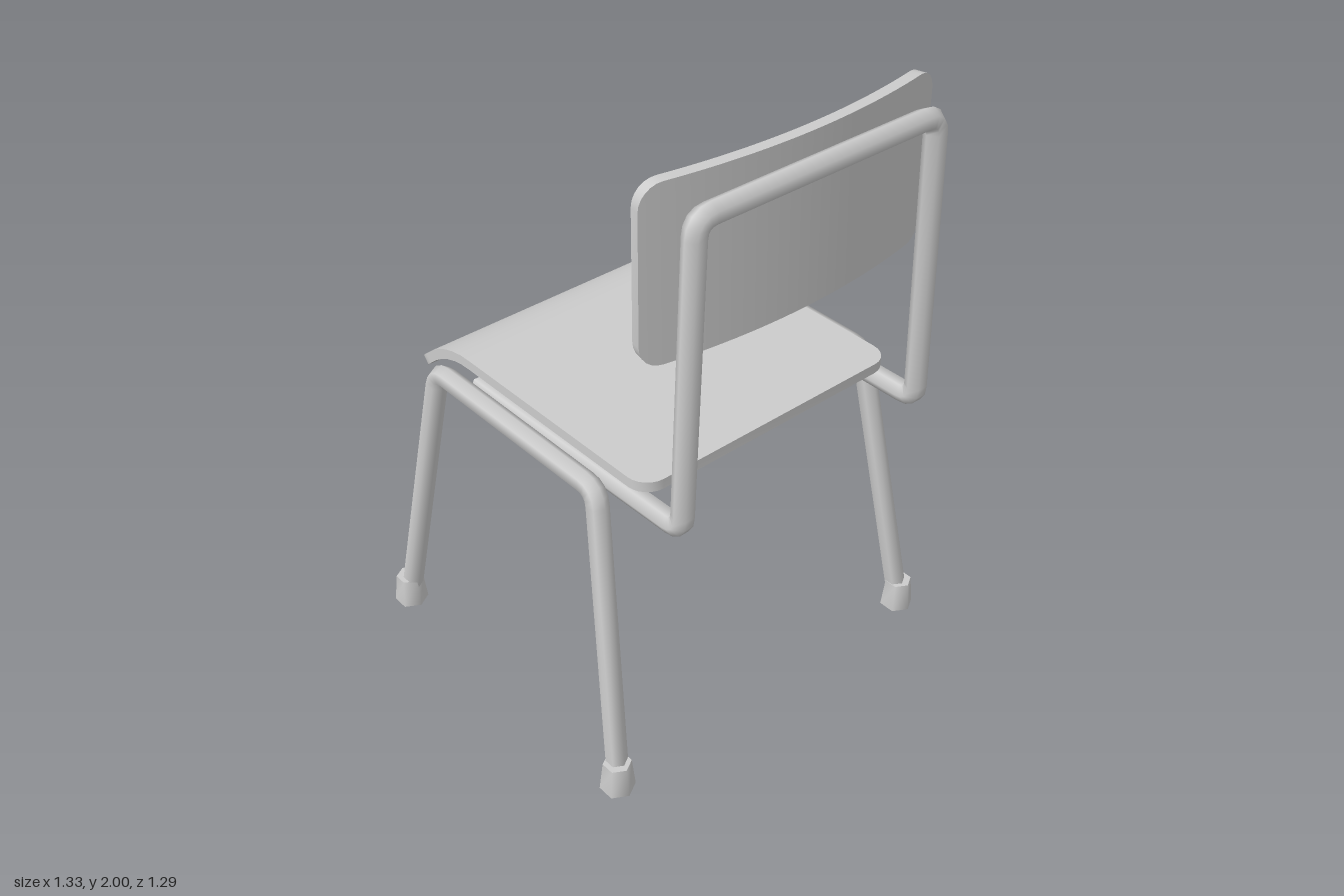
import * as THREE from 'three';
import { toCreasedNormals } from 'three/addons/utils/BufferGeometryUtils.js';

const V = (x, y, z) => new THREE.Vector3(x, y, z);
const material = new THREE.MeshStandardMaterial({ color: 0xcccccc });
const TUBE_R = 0.034;

// Sweeps a closed profile along points; profile(i) gives [normal, binormal] offsets.
function sweep(points, startNormal, profile, crease) {
  const tangents = points.map((p, i) => points[Math.min(i + 1, points.length - 1)].clone()
    .sub(points[Math.max(i - 1, 0)]).normalize());
  const normal = startNormal.clone().addScaledVector(tangents[0], -startNormal.dot(tangents[0])).normalize();
  const turn = new THREE.Quaternion();
  const positions = [], index = [];
  let n = 0;
  points.forEach((p, i) => {
    if (i) normal.applyQuaternion(turn.setFromUnitVectors(tangents[i - 1], tangents[i]));
    const binormal = tangents[i].clone().cross(normal);
    const ring = profile(i);
    n = ring.length;
    for (const [a, b] of ring) {
      positions.push(...p.clone().addScaledVector(normal, a).addScaledVector(binormal, b).toArray());
    }
  });
  for (let i = 0; i < points.length - 1; i++) {
    for (let j = 0; j < n; j++) {
      const a = i * n + j, b = i * n + (j + 1) % n;
      index.push(a, b, b + n, a, b + n, a + n);
    }
  }
  const last = (points.length - 1) * n;
  for (let j = 1; j < n - 1; j++) index.push(0, j + 1, j, last, last + j, last + j + 1);
  const geometry = new THREE.BufferGeometry();
  geometry.setAttribute('position', new THREE.Float32BufferAttribute(positions, 3));
  geometry.setIndex(index);
  return toCreasedNormals(geometry, crease);
}

// Six-sided tube through corner points, with small rounded bends.
function tube(corners, startNormal, bend = 0.05) {
  const points = [corners[0]];
  for (let i = 1; i < corners.length - 1; i++) {
    const c = corners[i];
    const from = c.clone().add(corners[i - 1].clone().sub(c).setLength(bend));
    const to = c.clone().add(corners[i + 1].clone().sub(c).setLength(bend));
    points.push(...new THREE.QuadraticBezierCurve3(from, c, to).getPoints(4));
  }
  points.push(corners[corners.length - 1]);
  const hexagon = Array.from({ length: 6 }, (_, k) =>
    [TUBE_R * Math.cos(k * Math.PI / 3), TUBE_R * Math.sin(k * Math.PI / 3)]);
  return sweep(points, startNormal, () => hexagon, 1.2);
}

// Bent board with rounded corners; path(s) is its centreline by length.
function board(path, length, halfWidth, radius, thickness, startNormal) {
  const stations = [];
  for (let k = 0; k <= 6; k++) {
    const d = radius * (1 - Math.cos(k * Math.PI / 12));
    stations.push(d, length - d);
  }
  for (let k = 1; k < 28; k++) {
    const s = length * k / 28;
    if (s > radius + 0.01 && s < length - radius - 0.01) stations.push(s);
  }
  stations.sort((a, b) => a - b);
  const t = thickness / 2;
  return sweep(stations.map(path), startNormal, (i) => {
    const d = Math.min(stations[i], length - stations[i], radius);
    const w = halfWidth - radius + Math.sqrt(Math.max(0, radius ** 2 - (radius - d) ** 2));
    return [[t, -w], [t, w], [-t, w], [-t, -w]];
  }, 0.6);
}

// Flat seat, then a downward arc and a short straight lip.
const FLAT = 0.82, ARC_R = 0.3, ARC = 0.7, LIP = 0.105;
function seatPath(s) {
  const a = THREE.MathUtils.clamp((s - FLAT) / ARC_R, 0, ARC);
  const lip = Math.max(0, s - FLAT - ARC * ARC_R);
  const z = 0.49 - Math.min(s, FLAT) - ARC_R * Math.sin(a) - lip * Math.cos(a);
  const y = 1.043 - ARC_R * (1 - Math.cos(a)) - lip * Math.sin(a);
  return V(0, y, z);
}

// Shallow arc across the backrest.
const BACK_R = 2.33, BACK_LENGTH = 1.05;
function backPath(s) {
  const a = (s - BACK_LENGTH / 2) / BACK_R;
  return V(BACK_R * Math.sin(a), 1.737, 0.557 - BACK_R * (1 - Math.cos(a)));
}

export function createModel() {
  const chair = new THREE.Group();
  chair.name = 'chair';
  const add = (name, geometry, parent = chair) => {
    const mesh = new THREE.Mesh(geometry, material);
    mesh.name = name;
    parent.add(mesh);
    return mesh;
  };

  add('seat', board(seatPath, FLAT + ARC * ARC_R + LIP, 0.488, 0.07, 0.033, V(0, 1, 0)));
  add('backrest', board(backPath, BACK_LENGTH, 0.263, 0.07, 0.035, V(0, 0, 1)));

  // One continuous tube: under the seat, up the back and across the top.
  const half = [V(0.47, 0.973, -0.3), V(0.463, 0.983, 0.615), V(0.43, 1.922, 0.615)];
  const mirrored = half.map((p) => V(-p.x, p.y, p.z)).reverse();
  add('backFrame', tube([...half, ...mirrored], V(1, 0, 0)));

  // Splayed leg frames with tapered end caps.
  const capGeometry = toCreasedNormals(new THREE.CylinderGeometry(0.044, 0.055, 0.1, 6), 1.2);
  for (const [side, sx] of [['left', 1], ['right', -1]]) {
    const legs = new THREE.Group();
    legs.name = side + 'LegFrame';
    chair.add(legs);
    add(side + 'LegTube', tube([
      V(sx * 0.615, 0.03, 0.509), V(sx * 0.532, 0.988, 0.337),
      V(sx * 0.532, 0.988, -0.425), V(sx * 0.615, 0.03, -0.589),
    ], V(0, 0, 1)), legs);
    for (const [end, z] of [['Back', 0.507], ['Front', -0.592]]) {
      add(side + end + 'FootCap', capGeometry, legs).position.set(sx * 0.616, 0.05, z);
    }
  }
  return chair;
}
